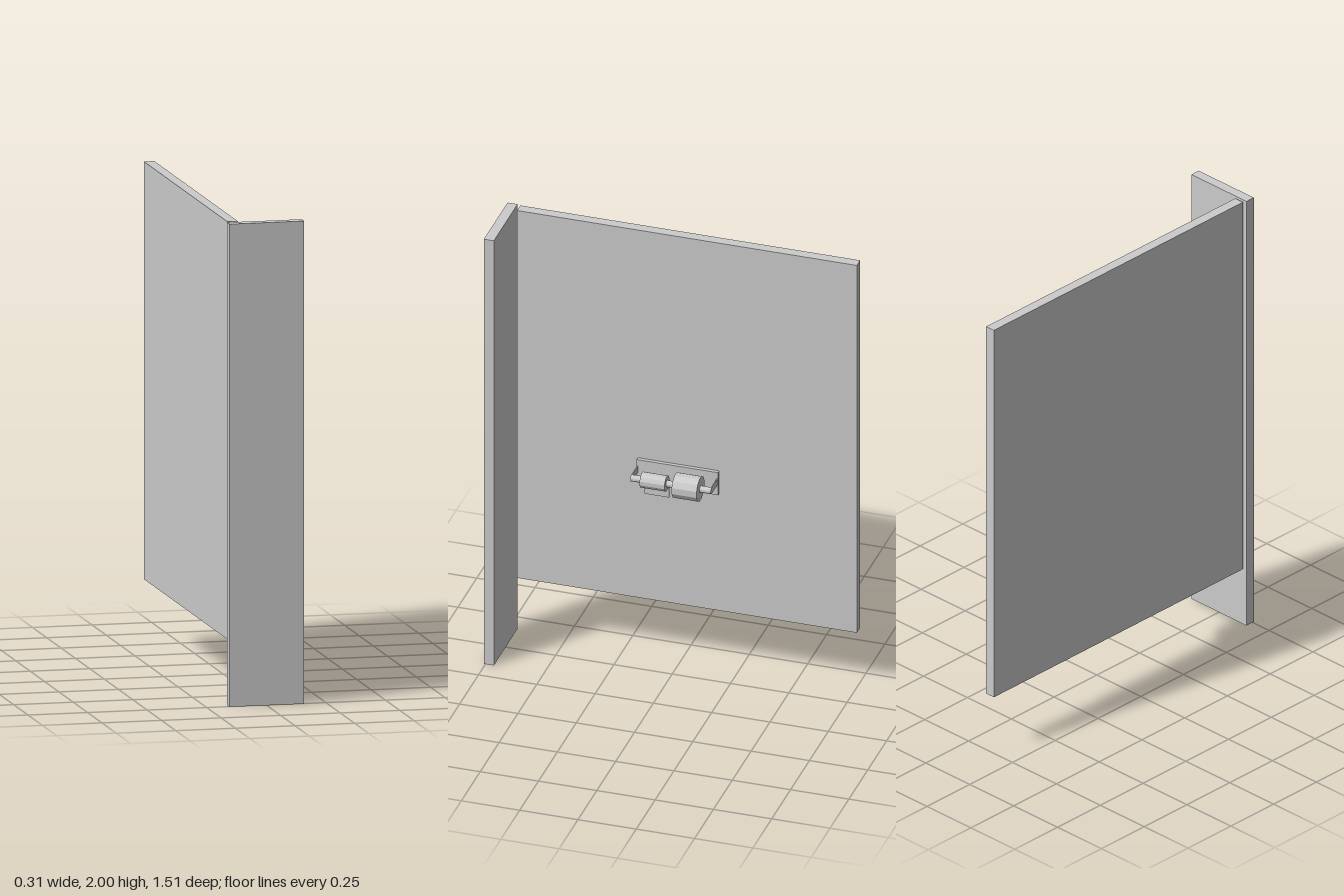
import * as THREE from 'three';

export function createModel() {
  const model = new THREE.Group();
  const material = new THREE.MeshStandardMaterial({ color: 0xcccccc, flatShading: true });

  const add = (parent, name, geometry, x, y, z) => {
    const mesh = new THREE.Mesh(geometry, material);
    mesh.name = name;
    mesh.position.set(x, y, z);
    parent.add(mesh);
    return mesh;
  };

  // Box given by its limits on each axis
  const box = (parent, name, [x0, x1], [y0, y1], [z0, z1]) =>
    add(parent, name, new THREE.BoxGeometry(x1 - x0, y1 - y0, z1 - z0),
      (x0 + x1) / 2, (y0 + y1) / 2, (z0 + z1) / 2);

  // Twelve-sided cylinder lying along z, with flats on the axes
  const rodX = -0.013, rodY = 0.885;
  const lying = (parent, name, radius, z0, z1) => {
    const geometry = new THREE.CylinderGeometry(radius, radius, z1 - z0, 12, 1, false, Math.PI / 12);
    geometry.rotateX(Math.PI / 2);
    return add(parent, name, geometry, rodX, rodY, (z0 + z1) / 2);
  };

  // Partition walls
  box(model, 'frontPost', [-0.157, 0.157], [0, 2], [0.714, 0.757]);
  box(model, 'sidePanel', [-0.151, -0.107], [0.27, 2], [-0.757, 0.7]);

  // Double roll holder mounted on the panel
  const holder = new THREE.Group();
  holder.name = 'rollHolder';
  model.add(holder);
  box(holder, 'backPlate', [-0.107, -0.091], [0.822, 0.928], [-0.167, 0.182]);
  for (const [name, z] of [['rearArm', -0.163], ['frontArm', 0.178]]) {
    box(holder, name, [-0.092, rodX], [rodY - 0.014, rodY + 0.014], [z - 0.002, z + 0.002]);
  }
  lying(holder, 'rod', 0.0145, -0.165, 0.18);

  // Full roll, part-used roll and its hanging sheet
  lying(holder, 'fullRoll', 0.054, -0.117, -0.01);
  lying(holder, 'partUsedRoll', 0.034, 0.027, 0.134);
  box(holder, 'hangingSheet', [-0.046, -0.044], [0.802, rodY], [0.027, 0.134]);

  return model;
}
